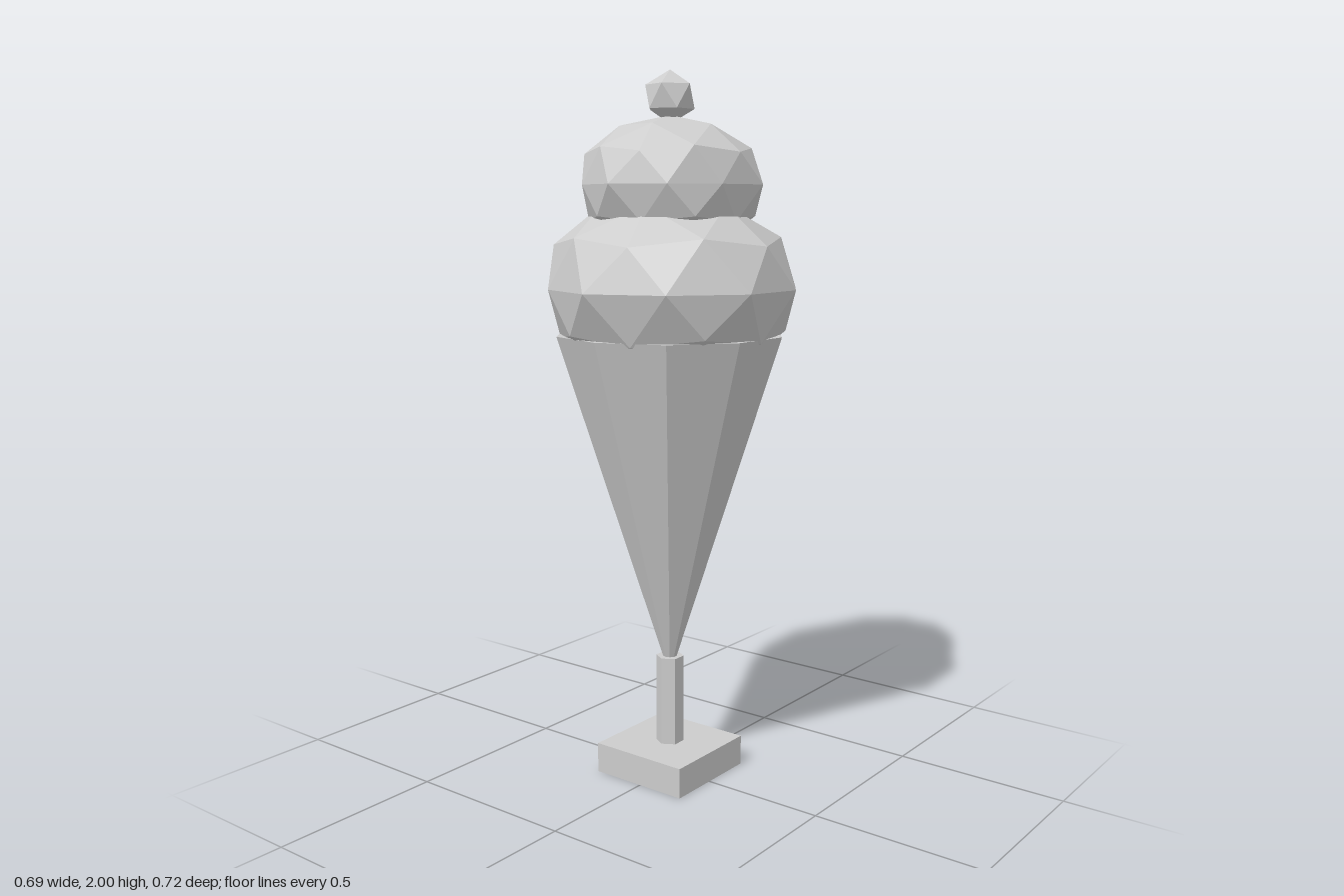
import * as THREE from 'three';

const paleGrey = new THREE.MeshStandardMaterial({ color: 0xcccccc });
paleGrey.name = 'paleGrey';

// Adds a faceted mesh to the group
function addPart(group, name, geometry, y) {
  const flat = geometry.index ? geometry.toNonIndexed() : geometry;
  flat.computeVertexNormals();
  const mesh = new THREE.Mesh(flat, paleGrey);
  mesh.name = name;
  mesh.position.y = y;
  group.add(mesh);
  return mesh;
}

// Icosphere with a vertex at the top and a ring vertex towards +x
function uprightIcosphere(detail) {
  const geometry = new THREE.IcosahedronGeometry(1, detail);
  geometry.rotateX(-Math.atan((1 + Math.sqrt(5)) / 2));
  geometry.rotateY(Math.PI / 2);
  return geometry;
}

// Squashed scoop; equatorRadii run from -z towards +x, one per 36 degrees
function scoop(radius, height, equatorRadii) {
  const geometry = uprightIcosphere(1);
  const pos = geometry.attributes.position;
  for (let i = 0; i < pos.count; i++) {
    const x = pos.getX(i), y = pos.getY(i), z = pos.getZ(i);
    let r = radius;
    if (Math.abs(y) < 0.05) {
      const step = Math.round(Math.atan2(x, -z) / (Math.PI / 5));
      r = equatorRadii[(step + 10) % 10];
    }
    pos.setXYZ(i, x * r, y * height, z * r);
  }
  return geometry;
}

export function createModel() {
  const group = new THREE.Group();
  group.name = 'iceCreamCone';

  // Stand
  addPart(group, 'base', new THREE.BoxGeometry(0.3, 0.087, 0.3), 0.0435);
  addPart(group, 'stem', new THREE.CylinderGeometry(0.04, 0.04, 0.26, 6), 0.217);

  // Ten-sided wafer cone
  addPart(group, 'cone', new THREE.CylinderGeometry(0.323, 0.02, 0.94, 10), 0.815);

  // Scoops
  addPart(group, 'lowerScoop', scoop(0.36, 0.265,
    [0.352, 0.372, 0.36, 0.368, 0.358, 0.368, 0.344, 0.345, 0.356, 0.379]), 1.413);
  addPart(group, 'upperScoop', scoop(0.262, 0.187,
    [0.267, 0.269, 0.265, 0.242, 0.25, 0.263, 0.247, 0.26, 0.256, 0.272]), 1.693);

  // Cherry
  addPart(group, 'cherry', uprightIcosphere(0).scale(0.075, 0.072, 0.075), 1.928);

  // The stack sits slightly off the centre of its bounds
  for (const part of group.children) part.position.set(-0.007, part.position.y, -0.008);
  return group;
}
